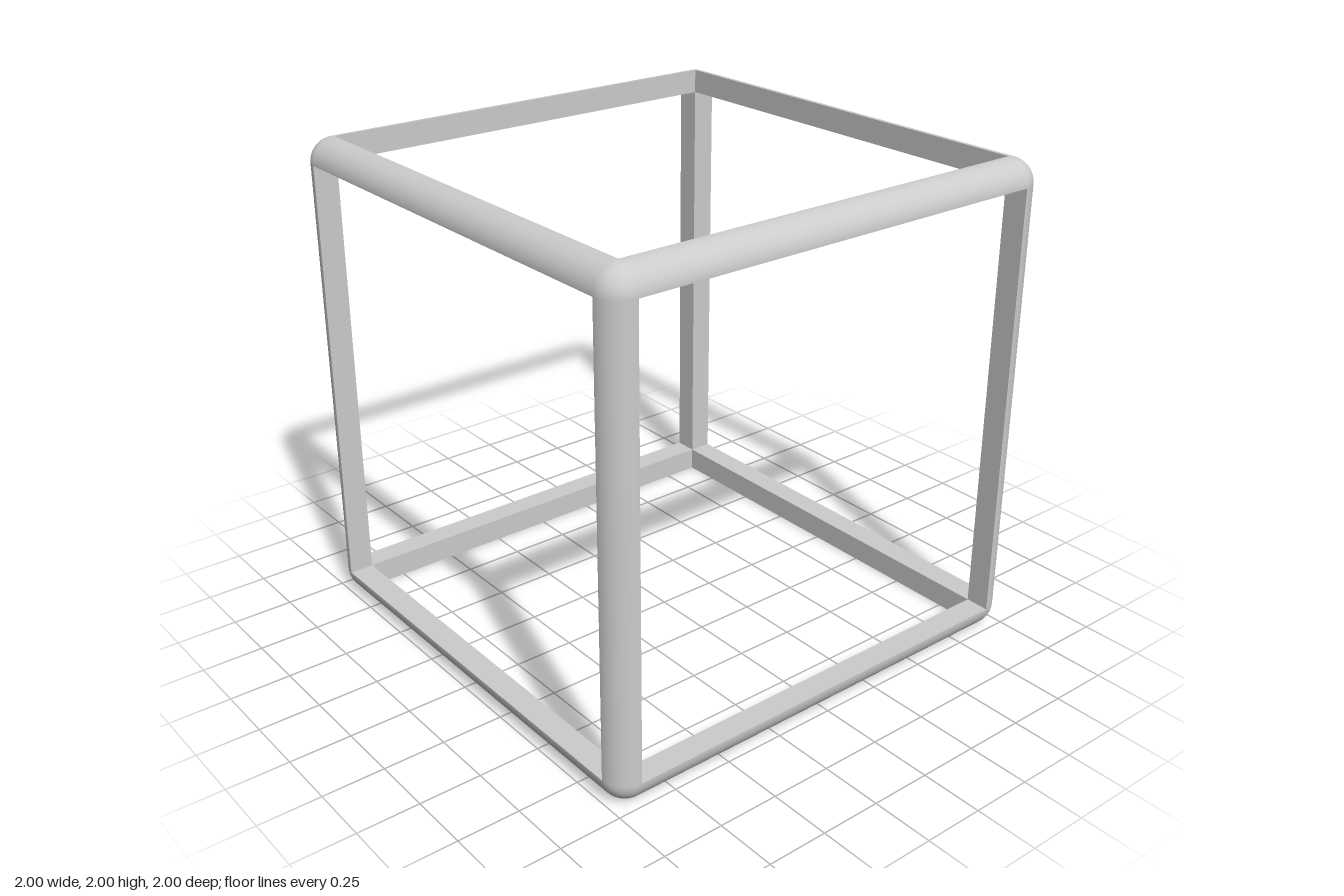
import * as THREE from 'three';
import { mergeGeometries } from 'three/addons/utils/BufferGeometryUtils.js';

const R = 0.1;          // edge rounding = bar thickness
const H = 1 - R;        // half length of the straight bars
const SEG = 16;

// Quarter-round bar along y at the +x +z edge: round outside, two flat inner faces
function barGeometry() {
  const round = new THREE.CylinderGeometry(R, R, 2 * H, SEG, 1, true, 0, Math.PI / 2);
  const innerX = new THREE.PlaneGeometry(R, 2 * H).rotateY(-Math.PI / 2).translate(0, 0, R / 2);
  const innerZ = new THREE.PlaneGeometry(R, 2 * H).rotateY(Math.PI).translate(R / 2, 0, 0);
  return mergeGeometries([round, innerX, innerZ]).translate(H, 0, H);
}

// Sphere octant closing the +x +y +z corner
function cornerGeometry() {
  return new THREE.SphereGeometry(R, SEG, SEG, Math.PI / 2, Math.PI / 2, 0, Math.PI / 2).translate(H, H, H);
}

export function createModel() {
  const model = new THREE.Group();
  model.name = 'cubeFrame';
  const material = new THREE.MeshStandardMaterial({ color: 0xcccccc });

  // Four copies of a part turned about y, the whole ring then tilted
  function ring(name, geometry, tiltX, tiltZ) {
    const group = new THREE.Group();
    group.name = name + 'Ring';
    for (let i = 0; i < 4; i++) {
      const mesh = new THREE.Mesh(geometry, material);
      mesh.name = name;
      mesh.rotation.y = (i * Math.PI) / 2;
      group.add(mesh);
    }
    group.rotation.set(tiltX, 0, tiltZ);
    group.position.y = 1;
    model.add(group);
  }

  // Twelve bars, four along each axis
  const bar = barGeometry();
  ring('uprightBar', bar, 0, 0);
  ring('depthBar', bar, Math.PI / 2, 0);
  ring('widthBar', bar, 0, Math.PI / 2);

  // Eight rounded corners
  const corner = cornerGeometry();
  ring('topCorner', corner, 0, 0);
  ring('bottomCorner', corner, Math.PI, 0);

  return model;
}
